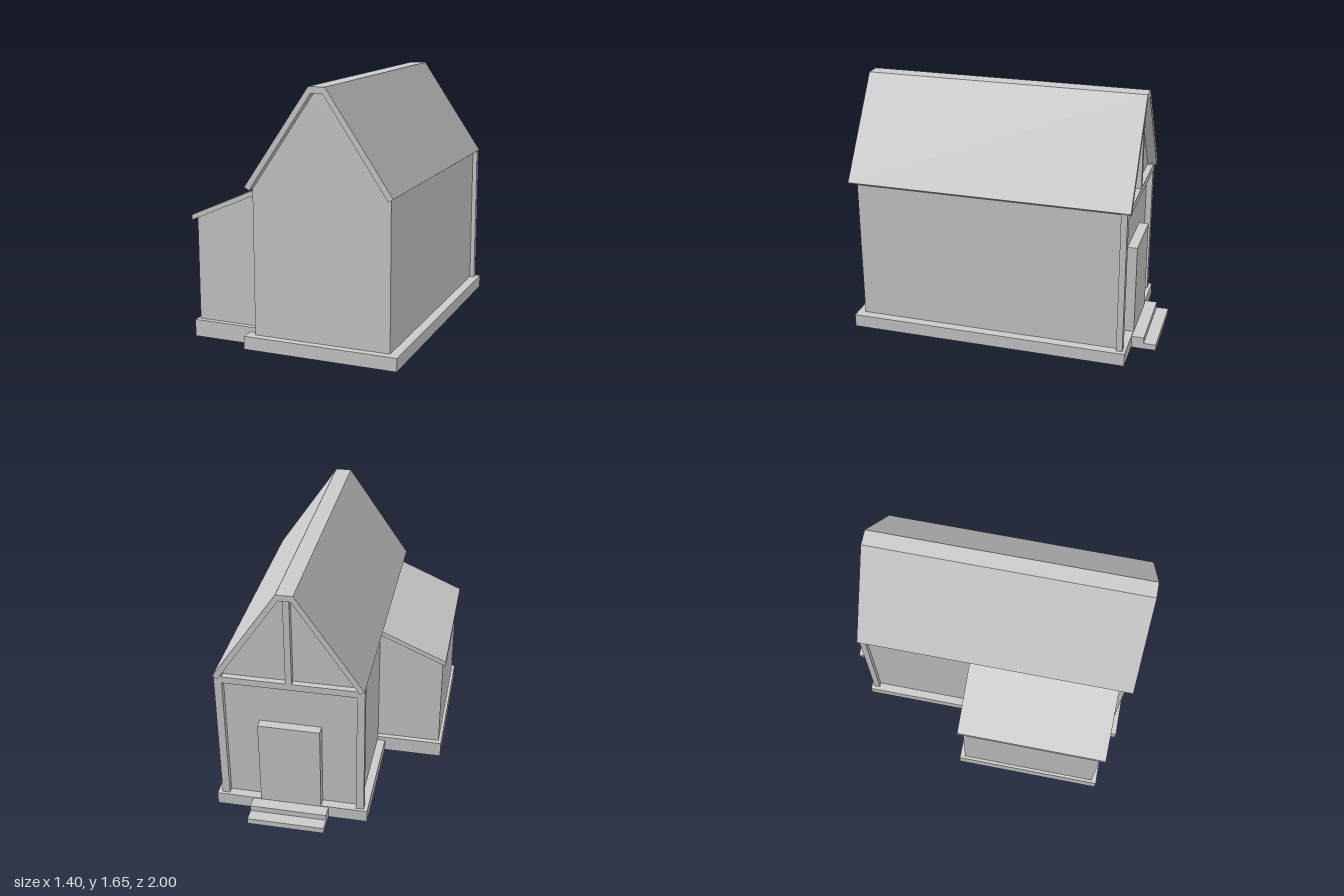
import * as THREE from 'three';

const grey = new THREE.MeshStandardMaterial({ color: 0xcccccc, flatShading: true });

// Box given by its min and max on each axis
function box(name, x0, x1, y0, y1, z0, z1) {
  const mesh = new THREE.Mesh(new THREE.BoxGeometry(x1 - x0, y1 - y0, z1 - z0), grey);
  mesh.position.set((x0 + x1) / 2, (y0 + y1) / 2, (z0 + z1) / 2);
  mesh.name = name;
  return mesh;
}

// Front outline (x, y) extruded from z0 to z1
function prism(name, points, z0, z1) {
  const shape = new THREE.Shape(points.map(([x, y]) => new THREE.Vector2(x, y)));
  const geometry = new THREE.ExtrudeGeometry(shape, { depth: z1 - z0, bevelEnabled: false });
  geometry.translate(0, 0, z0);
  const mesh = new THREE.Mesh(geometry, grey);
  mesh.name = name;
  return mesh;
}

export function createModel() {
  const model = new THREE.Group();
  model.name = 'house';

  // Main house: plinth, gabled walls and the roof shell with a flat ridge
  const gable = [[0.64, 1.01], [0.235, 1.61], [0.16, 1.61], [-0.25, 1.01]];
  model.add(
    box('plinth', -0.305, 0.70, 0, 0.085, -0.84, 1),
    prism('houseWalls', [[-0.25, 0.08], [0.64, 0.08], ...gable], -0.78, 0.95),
    prism('mainRoof', [
      [-0.28, 1.03], ...[...gable].reverse(),
      [0.67, 1.03], [0.25, 1.65], [0.145, 1.65],
    ], -0.84, 1),
  );

  // Timber frame on the back gable
  const cx = 0.195;
  for (const side of [-1, 1]) {
    const outer = cx + side * 0.475, inner = cx + side * 0.425;
    model.add(box(side > 0 ? 'leftPost' : 'rightPost',
      Math.min(outer, inner), Math.max(outer, inner), 0.085, 1.025, -0.82, -0.78));
  }
  model.add(
    box('tieBeam', -0.25, 0.64, 0.97, 1.015, -0.82, -0.78),
    box('kingPost', cx - 0.02, cx + 0.02, 1.015, 1.61, -0.82, -0.78),
  );

  // Back door and its two steps
  model.add(
    box('door', 0, 0.40, 0.085, 0.685, -0.843, -0.78),
    box('upperStep', -0.05, 0.455, 0, 0.08, -0.92, -0.84),
    box('lowerStep', -0.05, 0.455, 0, 0.04, -1, -0.92),
  );

  // Side annex with a lean-to roof
  model.add(
    box('annexPlinth', -0.70, -0.25, 0.005, 0.115, -0.085, 0.91),
    prism('annexWalls', [[-0.68, 0.11], [-0.25, 0.11], [-0.25, 0.966], [-0.68, 0.779]], -0.05, 0.875),
    prism('annexRoof', [[-0.70, 0.77], [-0.25, 0.966], [-0.25, 1.0], [-0.70, 0.804]], -0.085, 0.91),
  );

  return model;
}
